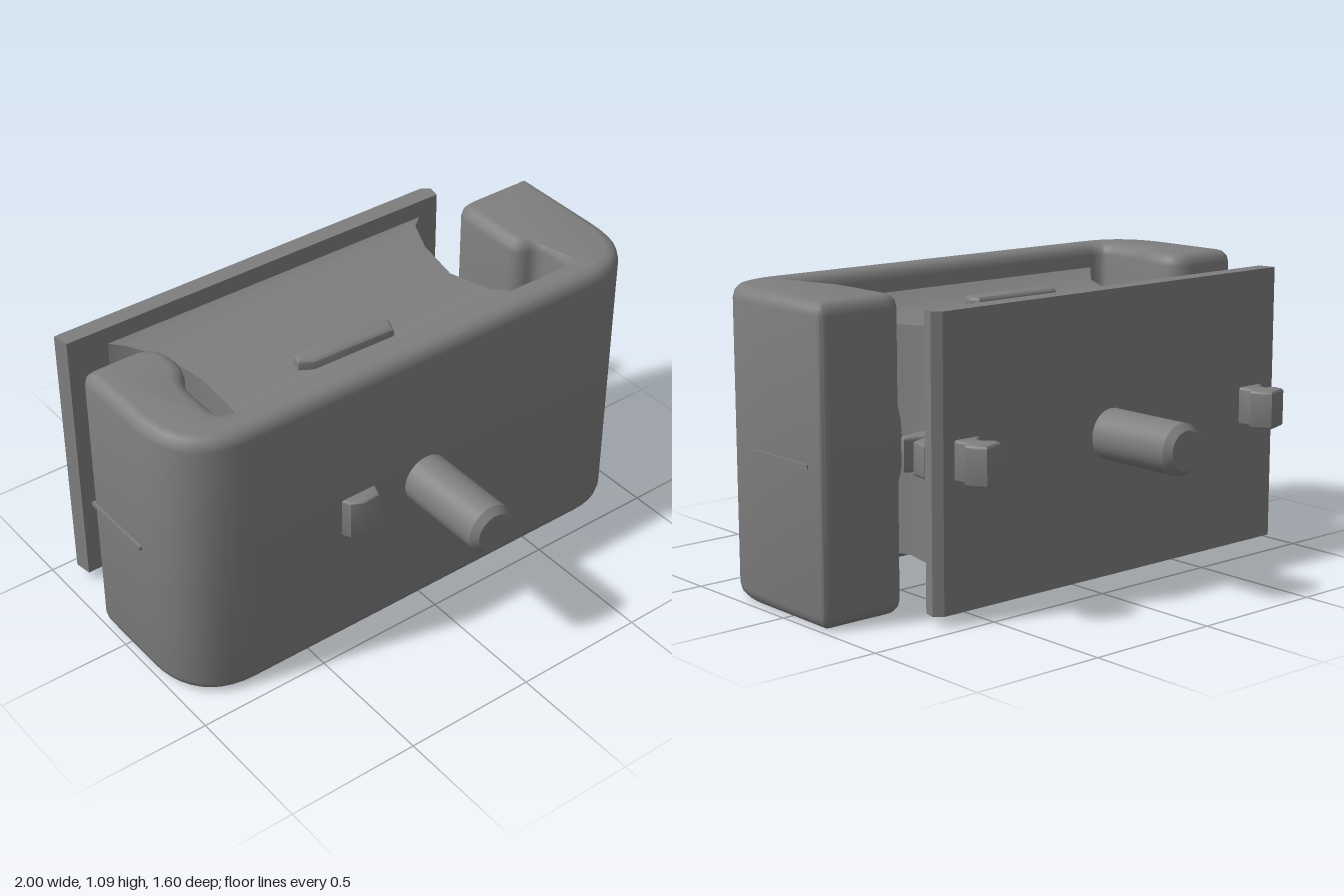
import * as THREE from 'three';
import { toCreasedNormals } from 'three/addons/utils/BufferGeometryUtils.js';

export function createModel() {
  const root = new THREE.Group();
  const grey = new THREE.MeshStandardMaterial({ color: 0x7e7e7e });
  grey.name = 'cast grey';

  const add = (name, geo, x = 0, y = 0, z = 0) => {
    const m = new THREE.Mesh(geo, grey);
    m.name = name;
    m.position.set(x, y, z);
    root.add(m);
    return m;
  };

  // Extrudes a plan outline, drawn in (x, -z), upward from y0 to y1
  const extrudeUp = (shape, y0, y1, bevel) => {
    const g = new THREE.ExtrudeGeometry(shape, {
      depth: y1 - y0 - 2 * bevel, bevelEnabled: bevel > 0, bevelSize: bevel,
      bevelThickness: bevel, bevelOffset: -bevel, bevelSegments: 3, curveSegments: 10,
    });
    g.rotateX(-Math.PI / 2).translate(0, y0 + bevel, 0);
    return toCreasedNormals(g, 0.6);
  };
  // Plan outline from [x, z] points
  const plan = pts => new THREE.Shape(pts.map(([x, z]) => new THREE.Vector2(x, -z)));

  // U-shaped housing, open to the back, with thickened arm ends
  const u = new THREE.Shape();
  u.moveTo(-0.74, -0.43);
  u.lineTo(0.74, -0.43);
  u.bezierCurveTo(0.9, -0.43, 0.99, -0.33, 0.99, -0.16);
  u.lineTo(0.995, 0.21);
  u.quadraticCurveTo(0.99, 0.23, 0.95, 0.23);
  u.lineTo(0.73, 0.23);
  u.quadraticCurveTo(0.65, 0.23, 0.65, 0.15);
  u.lineTo(0.65, -0.08);
  u.quadraticCurveTo(0.66, -0.12, 0.7, -0.13);
  u.quadraticCurveTo(0.74, -0.14, 0.74, -0.19);
  u.lineTo(0.74, -0.25);
  u.quadraticCurveTo(0.74, -0.3, 0.68, -0.3);
  u.lineTo(-0.69, -0.3);
  u.quadraticCurveTo(-0.75, -0.3, -0.75, -0.25);
  u.lineTo(-0.75, -0.14);
  u.quadraticCurveTo(-0.75, -0.08, -0.71, -0.03);
  u.quadraticCurveTo(-0.69, 0, -0.69, 0.06);
  u.quadraticCurveTo(-0.69, 0.17, -0.8, 0.17);
  u.lineTo(-0.94, 0.17);
  u.quadraticCurveTo(-0.99, 0.17, -0.99, 0.12);
  u.lineTo(-0.99, -0.16);
  u.bezierCurveTo(-0.99, -0.33, -0.9, -0.43, -0.74, -0.43);
  add('housing', extrudeUp(u, 0.015, 1.105, 0.045));

  // Rubber block, waisted between the housing wall and the back plate
  const sections = [ // z, left x, right x, bottom y, top y
    [-0.38, -0.78, 0.62, 0.11, 1.01],
    [-0.34, -0.71, 0.56, 0.13, 0.99],
    [-0.22, -0.63, 0.51, 0.14, 0.98],
    [-0.05, -0.59, 0.49, 0.15, 0.96],
    [0.12, -0.6, 0.54, 0.15, 0.96],
    [0.23, -0.63, 0.61, 0.14, 0.98],
    [0.31, -0.7, 0.72, 0.1, 1.02],
  ];
  const block = new THREE.BoxGeometry(1, 1, 1, 1, 1, sections.length - 1);
  const p = block.attributes.position;
  for (let i = 0; i < p.count; i++) {
    const s = sections[Math.round((p.getZ(i) + 0.5) * (sections.length - 1))];
    p.setXYZ(i, p.getX(i) < 0 ? s[1] : s[2], p.getY(i) < 0 ? s[3] : s[4], s[0]);
  }
  block.computeVertexNormals();
  add('rubberBlock', block);

  // Raised bars on the top and bottom of the block
  const bar = plan([[-0.27, 0.05], [0.08, 0.06], [0.1, 0.09], [0.08, 0.14],
    [-0.25, 0.13], [-0.3, 0.1], [-0.29, 0.06]].reverse());
  add('topBar', extrudeUp(bar, 0.93, 1.0, 0.015));
  add('bottomBar', extrudeUp(bar, 0.11, 0.18, 0.015));

  // Side bumpers at mid height of the block
  const bumper = new THREE.SphereGeometry(1, 16, 10);
  for (const [x, z, w] of [[-0.62, 0.12, 0.09], [0.58, 0.06, 0.07]]) {
    add('sideBumper', bumper, x, 0.56, z).scale.set(w, 0.28, 0.16);
  }
  const leftTab = [[-0.81, -0.34], [-0.72, -0.3], [-0.75, -0.23], [-0.68, -0.2], [-0.58, -0.2], [-0.58, -0.37]];
  const rightTab = [[0.67, -0.35], [0.66, -0.28], [0.58, -0.25], [0.66, -0.23], [0.64, -0.19], [0.48, -0.16], [0.48, -0.37]];
  add('rightWebTab', extrudeUp(plan(leftTab), 0.5, 0.62, 0.01));
  add('leftWebTab', extrudeUp(plan(rightTab), 0.5, 0.62, 0.01));

  // Back plate with slightly tapered edges
  add('backPlate', extrudeUp(plan([[-0.93, -0.435], [-0.92, -0.37], [0.68, -0.365],
    [0.69, -0.41], [0.66, -0.435]]), 0.05, 1.07, 0));

  // Hooked locating lugs behind the plate
  const lug = plan([[-0.1, 0.01], [-0.04, -0.03], [-0.035, -0.06], [-0.07, -0.08],
    [-0.065, -0.12], [0.03, -0.15], [0.055, -0.12], [0.07, -0.08], [0.04, -0.055], [0.05, 0.01]]);
  const lugGeo = extrudeUp(lug, 0.5, 0.64, 0.01);
  add('rightLug', lugGeo, -0.8, 0, -0.43);
  add('leftLug', lugGeo, 0.57, 0, -0.43).scale.x = 0.9;

  // Square locating boss on the front wall
  add('frontBoss', extrudeUp(plan([[-0.37, 0.42], [-0.35, 0.46], [-0.31, 0.48],
    [-0.24, 0.475], [-0.22, 0.42]]), 0.48, 0.635, 0.008));

  // Chamfered studs, front and back
  const studProfile = [[0, 0], [0.092, 0], [0.092, 0.4], [0.07, 0.425], [0, 0.425]]
    .map(([r, h]) => new THREE.Vector2(r, h));
  const stud = toCreasedNormals(new THREE.LatheGeometry(studProfile, 32), 0.5);
  add('frontStud', stud, 0, 0.56, 0.375).rotation.x = Math.PI / 2;
  add('backStud', stud, -0.1, 0.56, -0.375).rotation.x = -Math.PI / 2;

  // Small casting ridge left along the arm sides
  for (const s of [-1, 1]) {
    add('partingRidge', new THREE.BoxGeometry(0.02, 0.015, 0.3), s * 0.99, 0.56, 0);
  }
  return root;
}
